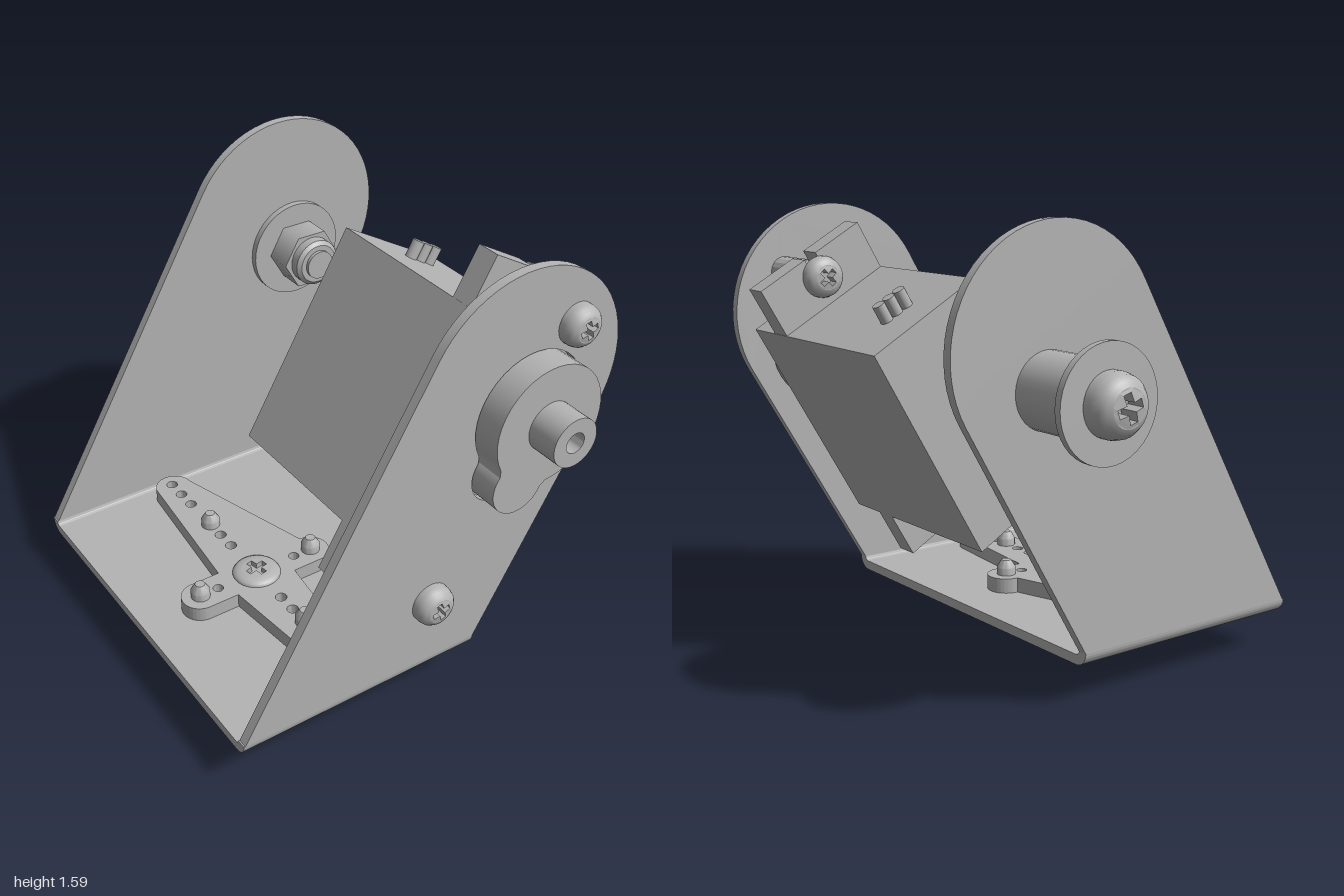
import * as THREE from 'three';
import { toCreasedNormals } from 'three/addons/utils/BufferGeometryUtils.js';

const metal = new THREE.MeshStandardMaterial({ color: 0xb4b4b4 });
metal.name = 'plain grey';

const T = 0.035; // sheet thickness
const AXIS = [0.345, 1.07]; // pivot axis in x, y
const HORN = [-0.285, 0.13]; // horn centre in x, z

function add(parent, name, geometry) {
  const mesh = new THREE.Mesh(geometry, metal);
  mesh.name = name;
  parent.add(mesh);
  return mesh;
}

function group(parent, name, x = 0, y = 0, z = 0) {
  const g = new THREE.Group();
  g.name = name;
  g.position.set(x, y, z);
  parent.add(g);
  return g;
}

// Cylinder along z
function rod(r, z0, z1, sides = 32) {
  return new THREE.CylinderGeometry(r, r, z1 - z0, sides).rotateX(Math.PI / 2).translate(0, 0, (z0 + z1) / 2);
}

// Turned part along z from [radius, z] pairs
function turned(points, sides = 32) {
  const g = new THREE.LatheGeometry(points.map((p) => new THREE.Vector2(...p)), sides);
  return toCreasedNormals(g.rotateX(Math.PI / 2), 0.6);
}

function tube(rOut, rIn, z0, z1) {
  return turned([[rIn, z0], [rOut, z0], [rOut, z1], [rIn, z1], [rIn, z0]]);
}

function slab(shape, z0, depth) {
  const g = new THREE.ExtrudeGeometry(shape, { depth, bevelEnabled: false, curveSegments: 16 });
  return toCreasedNormals(g.translate(0, 0, z0), 0.5);
}

function circlePath(x, y, r) {
  return new THREE.Path().absarc(x, y, r, 0, Math.PI * 2, true);
}

// Domed screw head with a cross recess, facing +z
function screwHead(parent, name, r, h, spin = 0.25) {
  const head = group(parent, name);
  add(head, 'headRim', turned([[0, 0], [r, 0], [r, 0.3 * h], [0.93 * r, 0.6 * h], [0.78 * r, 0.8 * h], [0.6 * r, 0.9 * h]]));
  const crown = new THREE.Shape().absarc(0, 0, 0.6 * r, 0, Math.PI * 2);
  const a = 0.45 * r, b = 0.14 * r;
  crown.holes.push(new THREE.Path([
    [a, -b], [b, -b], [b, -a], [-b, -a], [-b, -b], [-a, -b],
    [-a, b], [-b, b], [-b, a], [b, a], [b, b], [a, b],
  ].map((p) => new THREE.Vector2(...p))));
  const g = new THREE.ExtrudeGeometry(crown, { depth: 0.5 * h, bevelEnabled: false, curveSegments: 16 });
  const pos = g.attributes.position;
  for (let i = 0; i < pos.count; i++) {
    if (pos.getZ(i) < 0.1 * h) continue;
    const q = Math.hypot(pos.getX(i), pos.getY(i)) / (0.6 * r);
    pos.setZ(i, h * (1 - 0.1 * q * q));
  }
  g.computeVertexNormals();
  add(head, 'headCrown', g);
  add(head, 'recessFloor', new THREE.CircleGeometry(0.5 * r, 24).translate(0, 0, 0.25 * h));
  head.rotation.z = spin;
  return head;
}

// Round boss with a smaller lobe below it
function keyhole(Type, R, r, d) {
  const a = (R * R - r * r + d * d) / (2 * d);
  const w = Math.sqrt(R * R - a * a);
  const big = Math.atan2(w, a) + 0.08;
  const small = Math.atan2(d - a, w) - 0.15;
  const p = new Type();
  p.absarc(0, 0, R, -Math.PI / 2 + big, 1.5 * Math.PI - big);
  p.absarc(0, -d, r, Math.PI - small, 2 * Math.PI + small);
  p.closePath();
  return p;
}

function buildBracket(root) {
  const bracket = group(root, 'bracket');
  const sideShape = () => {
    const s = new THREE.Shape();
    s.moveTo(-0.74, 0.19);
    s.lineTo(0.187, 0.19);
    s.absarc(0.305, 1.19, 0.4, -Math.PI / 6, Math.PI * 5 / 6);
    s.closePath();
    return s;
  };
  const front = sideShape();
  const opening = keyhole(THREE.Path, 0.222, 0.11, 0.22).getPoints(16)
    .map((p) => p.rotateAround(new THREE.Vector2(), -Math.PI / 6).add(new THREE.Vector2(...AXIS)));
  front.holes.push(new THREE.Path(opening));
  add(bracket, 'frontPlate', slab(front, 0.755, T));
  add(bracket, 'backPlate', slab(sideShape(), -0.62, T));

  // Floor, with horn opening and two through holes
  const floor = new THREE.Shape();
  floor.moveTo(-0.745, -0.74).lineTo(0.187, -0.74).lineTo(0.187, 0.57).lineTo(-0.745, 0.57).closePath();
  floor.holes.push(circlePath(HORN[0], -HORN[1], 0.13));
  for (const z of [-0.35, 0.595]) floor.holes.push(circlePath(HORN[0], -z, 0.024));
  add(bracket, 'floorPlate', slab(floor, 0, T).rotateX(-Math.PI / 2).translate(0, 0.14, 0));

  // Rounded bends joining floor and sides
  for (const [name, z, back] of [['frontBend', 0.74, false], ['backBend', -0.57, true]]) {
    const s = new THREE.Shape();
    const a0 = back ? Math.PI : 1.5 * Math.PI;
    s.absarc(-z, 0.19, 0.05, back ? 1.5 * Math.PI : Math.PI, back ? 2 * Math.PI : 1.5 * Math.PI);
    s.absarc(-z, 0.19, 0.015, back ? 2 * Math.PI : a0, back ? 1.5 * Math.PI : Math.PI, true);
    s.closePath();
    add(bracket, name, slab(s, 0, 0.932).rotateY(Math.PI / 2).translate(-0.745, 0, 0));
  }
}

function buildServo(root) {
  const servo = group(root, 'servo', 0.245, 0.895, 0);
  servo.rotation.z = -Math.PI / 6;
  add(servo, 'servoBody', new THREE.BoxGeometry(0.453, 0.835, 0.83).translate(0, 0, 0.305));

  // Mounting ears with open slots
  const ears = new THREE.Shape([
    [-0.225, -0.605], [-0.025, -0.605], [-0.025, -0.52], [0.025, -0.52], [0.025, -0.605], [0.225, -0.605],
    [0.225, 0.605], [0.025, 0.605], [0.025, 0.52], [-0.025, 0.52], [-0.025, 0.605], [-0.225, 0.605],
  ].map((p) => new THREE.Vector2(...p)));
  add(servo, 'mountingEars', slab(ears, 0.48, 0.09));

  // Output boss and hollow shaft
  const output = group(servo, 'output', 0, 0.202, 0);
  add(output, 'gearBoss', slab(keyhole(THREE.Shape, 0.215, 0.103, 0.22), 0.7, 0.185));
  add(output, 'outputShaft', tube(0.088, 0.037, 0.885, 1));

  // Standoffs with a screw at each end
  for (const side of [1, -1]) {
    const mount = group(servo, side > 0 ? 'upperMount' : 'lowerMount', 0, side * 0.52, 0);
    const post = rod(0.055, 0.57, 0.755, 18).toNonIndexed();
    post.computeVertexNormals();
    add(mount, 'standoff', post);
    screwHead(mount, 'frontScrew', 0.074, 0.065, 0.8).position.z = 0.79;
    const rear = screwHead(mount, 'rearScrew', 0.074, 0.055, 0.25);
    rear.position.z = 0.48;
    rear.rotation.y = Math.PI;
  }

  // Three cable leads
  for (const i of [-1, 0, 1]) {
    add(servo, 'cableLead', new THREE.CylinderGeometry(0.022, 0.022, 0.08, 16).translate(0.01 + i * 0.045, 0.443, 0.05));
  }
}

function buildPivot(root) {
  const pivot = group(root, 'rearPivot', AXIS[0], AXIS[1], 0);
  const head = screwHead(pivot, 'boltHead', 0.102, 0.095, 0.3);
  head.position.z = -0.905;
  head.rotation.y = Math.PI;
  add(pivot, 'outerWasher', rod(0.185, -0.905, -0.88, 40));
  add(pivot, 'spacer', rod(0.127, -0.88, -0.62));
  add(pivot, 'innerWasher', rod(0.185, -0.585, -0.56, 40));
  add(pivot, 'hexNut', rod(0.117, -0.56, -0.455, 6).rotateZ(Math.PI / 2));
  add(pivot, 'nutCollar', turned([[0.09, -0.455], [0.09, -0.42], [0.075, -0.408], [0, -0.408]]));
  add(pivot, 'boltEnd', rod(0.055, -0.42, -0.395));
}

function buildHorn(root) {
  const horn = group(root, 'servoHorn', HORN[0], 0, HORN[1]);
  const s = new THREE.Shape();
  const P = Math.PI;
  s.moveTo(0.12, 0.07);
  s.absarc(0, 0.615, 0.07, 0, P);
  s.lineTo(-0.12, 0.07);
  s.absarc(-0.235, 0, 0.07, P / 2, 1.5 * P);
  s.lineTo(-0.12, -0.07);
  s.absarc(0, -0.52, 0.07, P, 2 * P);
  s.lineTo(0.12, -0.07);
  s.absarc(0.235, 0, 0.07, -P / 2, P / 2);
  s.closePath();
  for (const z of [-0.63, -0.555, -0.48, -0.255, -0.18, 0.165, 0.24, 0.39, 0.465, 0.54]) s.holes.push(circlePath(0, -z, 0.021));
  for (const x of [-0.162, 0.162]) s.holes.push(circlePath(x, 0, 0.019));
  add(horn, 'hornArms', slab(s, 0.175, 0.055).rotateX(-P / 2));

  // Hub below the floor, with the centre screw
  add(horn, 'hub', tube(0.129, 0.09, 0.09, 0.178).rotateX(-P / 2));
  add(horn, 'centreScrew', turned([[0, 0], [0.018, 0], [0.037, 0.04], [0.037, 0.18]]).rotateX(-P / 2));
  const cap = screwHead(horn, 'centreScrewHead', 0.088, 0.03, 0.2);
  cap.rotation.x = -P / 2;
  cap.position.y = 0.222;

  // Four screws up through the floor
  for (const [x, z] of [[-0.235, 0], [0.235, 0], [0, -0.33], [0, 0.317]]) {
    const screw = group(horn, 'hornScrew', x, 0, z);
    const head = screwHead(screw, 'hornScrewHead', 0.074, 0.058, 0.2);
    head.rotation.x = P / 2;
    head.position.y = 0.14;
    add(screw, 'screwTip', turned([[0.035, 0.2], [0.035, 0.258], [0.018, 0.285], [0, 0.285]], 20).rotateX(-P / 2));
  }
}

export function createModel() {
  const root = new THREE.Group();
  root.name = 'servoBracketAssembly';
  buildBracket(root);
  buildServo(root);
  buildPivot(root);
  buildHorn(root);
  return root;
}
